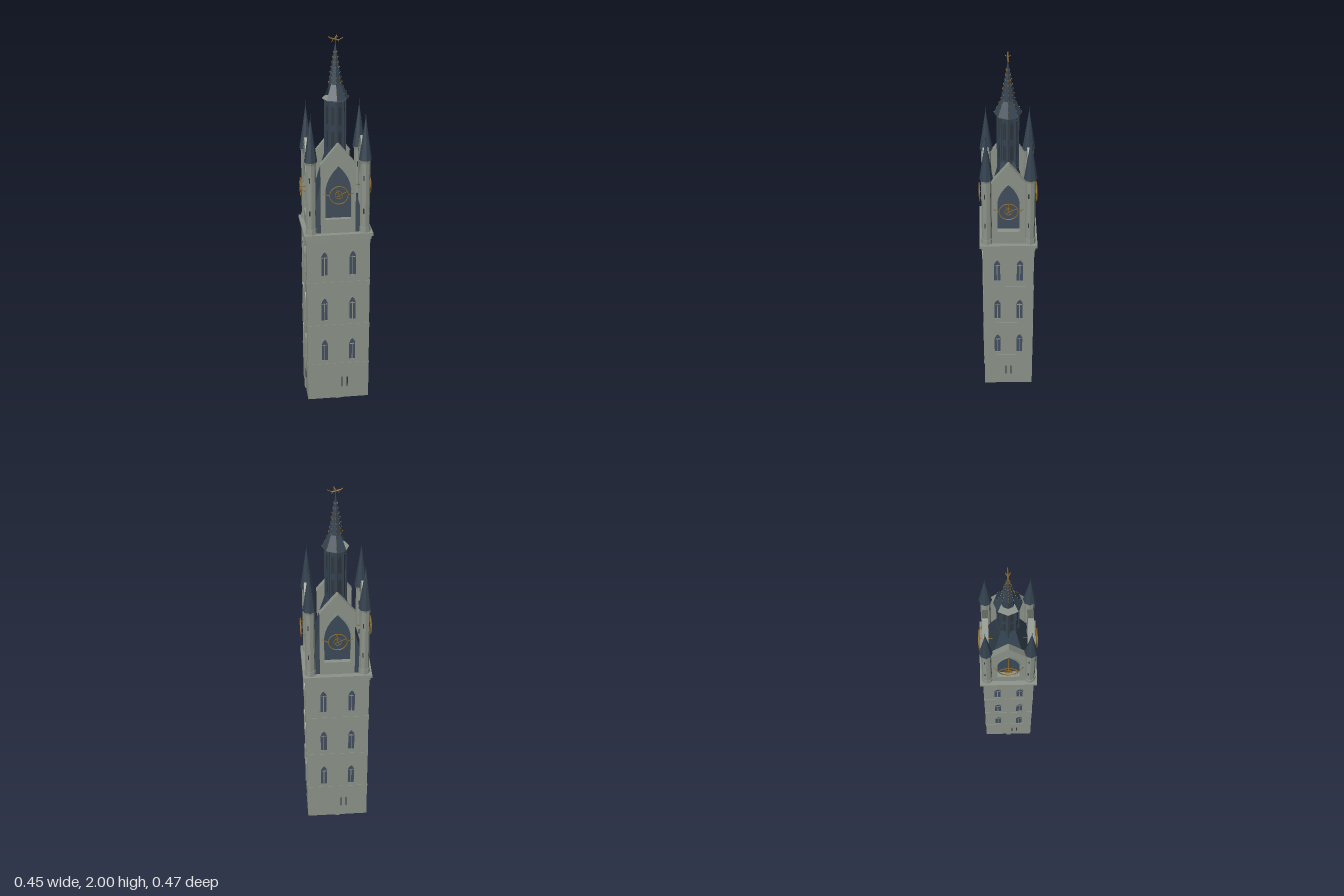
import * as THREE from 'three';

const mat = (name, color) => {
  const m = new THREE.MeshStandardMaterial({ color });
  m.name = name;
  return m;
};

export function createModel() {
  const stone = mat('stone', 0x8b9288);
  const slate = mat('slate', 0x344250);
  const glass = mat('glass', 0x434d60);
  const dark = mat('dark opening', 0x30363c);
  const gold = mat('gold', 0x8c6b2b);
  const slateOpen = mat('open slate', 0x344250);
  slateOpen.side = THREE.DoubleSide;

  const model = new THREE.Group();
  model.name = 'bellTower';
  const tower = new THREE.Group();
  tower.name = 'tower';
  tower.rotation.y = -Math.PI / 5; // the plan stands at 36 degrees
  model.add(tower);

  // ---- helpers ----
  const add = (parent, name, geo, m, x = 0, y = 0, z = 0) => {
    const mesh = new THREE.Mesh(geo, m);
    mesh.name = name;
    mesh.position.set(x, y, z);
    parent.add(mesh);
    return mesh;
  };
  const flat = (g) => {
    const n = g.toNonIndexed();
    n.computeVertexNormals();
    return n;
  };
  const box = (p, name, m, w, h, d, x, y, z) => add(p, name, new THREE.BoxGeometry(w, h, d), m, x, y, z);
  const prism = (p, name, m, rTop, rBot, y0, y1, x = 0, z = 0, n = 8) =>
    add(p, name, flat(new THREE.CylinderGeometry(rTop, rBot, y1 - y0, n)), m, x, (y0 + y1) / 2, z);
  // bar between two points
  const bar = (p, name, m, a, b, r) => {
    const A = new THREE.Vector3(...a), B = new THREE.Vector3(...b);
    const mesh = add(p, name, new THREE.CylinderGeometry(r, r, A.distanceTo(B), 5), m);
    mesh.position.copy(A).lerp(B, 0.5);
    mesh.quaternion.setFromUnitVectors(new THREE.Vector3(0, 1, 0), B.sub(A).normalize());
    return mesh;
  };
  // pointed arch outline
  const arch = (w, y0, y1, Type = THREE.Shape) => {
    const s = new Type(), spring = Math.max(y0 + (y1 - y0) * 0.5, y1 - w * 2);
    s.moveTo(-w, y0);
    s.lineTo(w, y0);
    s.lineTo(w, spring);
    s.quadraticCurveTo(w * 0.92, spring + (y1 - spring) * 0.55, 0, y1);
    s.quadraticCurveTo(-w * 0.92, spring + (y1 - spring) * 0.55, -w, spring);
    s.closePath();
    return s;
  };
  const plate = (shape, depth) =>
    new THREE.ExtrudeGeometry(shape, { depth, bevelEnabled: false, curveSegments: 6 });

  // ---- shaft ----
  const W = 0.133, D = 0.167;
  box(tower, 'shaft', stone, W * 2, 0.98, D * 2, 0, 0.49, 0);
  for (const [y, h] of [[0.215, 0.008], [0.445, 0.026], [0.7, 0.026]])
    box(tower, 'stringCourse', stone, W * 2 + 0.004, h, D * 2 + 0.004, 0, y, 0);
  box(tower, 'cornice', stone, 0.28, 0.02, 0.344, 0, 0.965, 0);
  box(tower, 'platform', stone, 0.3, 0.018, 0.36, 0, 0.983, 0);

  // ---- the four sides: windows, gable and clock ----
  const sides = [
    { turn: 0, wall: D, winX: 0.06, gable: 0.157, half: 0.085, open: 0.056 },
    { turn: 1, wall: W, winX: 0.075, gable: 0.124, half: 0.09, open: 0.068 },
    { turn: 2, wall: D, winX: 0.06, gable: 0.157, half: 0.085, open: 0.056 },
    { turn: 3, wall: W, winX: 0.075, gable: 0.124, half: 0.09, open: 0.068 },
  ];
  for (const s of sides) {
    const side = new THREE.Group();
    side.name = 'side';
    side.rotation.y = (s.turn * Math.PI) / 2;
    tower.add(side);

    if (s.turn !== 2) box(side, 'pilaster', stone, 0.022, 0.96, 0.01, 0, 0.48, s.wall + 0.001);
    for (const x of [-0.014, 0.014])
      box(side, 'slit', dark, 0.006, 0.06, 0.004, x + (s.turn === 2 ? 0 : 0.035), 0.1, s.wall);

    // paired lancet windows in three storeys
    for (const [y0, y1] of [[0.245, 0.372], [0.49, 0.622], [0.755, 0.892]])
      for (const x of [-s.winX, s.winX]) {
        add(side, 'windowGlass', plate(arch(0.017, y0, y1), 0.003), glass, x, 0, s.wall);
        const frame = arch(0.02, y0 - 0.003, y1 + 0.005);
        frame.holes.push(arch(0.0165, y0, y1, THREE.Path));
        add(side, 'windowFrame', plate(frame, 0.005), stone, x, 0, s.wall);
        box(side, 'mullion', stone, 0.004, y1 - y0 - 0.03, 0.005, x, (y0 + y1) / 2 - 0.015, s.wall + 0.002);
        box(side, 'tracery', stone, 0.026, 0.004, 0.005, x, y1 - 0.035, s.wall + 0.002);
      }

    // gabled wall with an open pointed arch
    const g = new THREE.Shape();
    g.moveTo(-s.half, 0.99);
    g.lineTo(s.half, 0.99);
    g.lineTo(s.half, 1.365);
    g.lineTo(0, 1.475);
    g.lineTo(-s.half, 1.365);
    g.closePath();
    g.holes.push(arch(s.open, 1.07, 1.36, THREE.Path));
    add(side, 'gableWall', plate(g, 0.024), stone, 0, 0, s.gable - 0.024);
    const rim = arch(s.open + 0.007, 1.063, 1.371);
    rim.holes.push(arch(s.open, 1.07, 1.36, THREE.Path));
    add(side, 'archMoulding', plate(rim, 0.004), stone, 0, 0, s.gable);
    const slope = Math.atan2(0.11, s.half), len = Math.hypot(0.11, s.half);
    for (const k of [-1, 1]) {
      const cope = box(side, 'coping', stone, len, 0.007, 0.03, (k * s.half) / 2, 1.42, s.gable - 0.012);
      cope.rotation.z = -k * slope;
    }

    // clock ring on brackets
    const cz = s.gable + 0.024, cy = 1.21;
    add(side, 'clockRing', new THREE.TorusGeometry(0.048, 0.0028, 5, 20), gold, 0, cy, cz);
    add(side, 'clockInnerRing', new THREE.TorusGeometry(0.02, 0.0018, 5, 12), gold, 0, cy, cz);
    for (const k of [-1, 1]) bar(side, 'clockBracket', gold, [k * 0.048, cy, cz], [k * 0.077, cy, s.gable], 0.0022);
    bar(side, 'clockAxle', gold, [0, cy, cz + 0.002], [0, cy, cz - 0.07], 0.002);
    bar(side, 'minuteHand', gold, [-0.012, cy - 0.007, cz + 0.002], [0.042, cy + 0.02, cz + 0.002], 0.0022);
    bar(side, 'hourHand', gold, [0.005, cy - 0.01, cz + 0.002], [-0.012, cy + 0.03, cz + 0.002], 0.0022);
  }

  // ---- corner turrets ----
  for (const i of [-1, 1])
    for (const j of [-1, 1]) {
      const t = new THREE.Group();
      t.name = 'turret';
      t.position.set(i * 0.111, 0, j * 0.14);
      tower.add(t);
      prism(t, 'turretShaft', stone, 0.026, 0.026, 0.99, 1.385);
      prism(t, 'turretBase', stone, 0.029, 0.031, 0.99, 1.02);
      prism(t, 'turretCollar', stone, 0.031, 0.027, 1.37, 1.386);
      prism(t, 'turretSpire', slate, 0.002, 0.034, 1.385, 1.605);
      prism(t, 'turretFinial', slate, 0.0008, 0.002, 1.6, 1.64, 0, 0, 5);
      for (let k = 0; k < 8; k++) {
        const f = new THREE.Group();
        f.name = 'turretFace';
        f.rotation.y = ((k + 0.5) * Math.PI) / 4;
        t.add(f);
        if (k % 2) for (const y of [1.11, 1.29]) box(f, 'turretSlit', dark, 0.006, 0.028, 0.002, 0, y, 0.0242);
      }
    }

  // ---- hipped roof inside the gables ----
  const roof = new THREE.CylinderGeometry(1, 1, 0.43, 4, 1, true);
  roof.rotateY(Math.PI / 4);
  const rp = roof.attributes.position;
  for (let i = 0; i < rp.count; i++) {
    const top = rp.getY(i) > 0;
    rp.setX(i, Math.sign(rp.getX(i)) * (top ? 0.036 : 0.118));
    rp.setZ(i, Math.sign(rp.getZ(i)) * (top ? 0.04 : 0.152));
  }
  add(tower, 'hippedRoof', flat(roof), slate, 0, 1.207, 0);

  // ---- octagonal lantern ----
  prism(tower, 'lantern', slate, 0.05, 0.05, 1.3, 1.68);
  for (let k = 0; k < 8; k++) {
    const a = (k * Math.PI) / 4;
    prism(tower, 'lanternPost', slate, 0.006, 0.006, 1.36, 1.68, 0.051 * Math.sin(a), 0.051 * Math.cos(a), 6);
    const f = new THREE.Group();
    f.name = 'lanternFace';
    f.rotation.y = a + Math.PI / 8;
    tower.add(f);
    for (const [y0, y1] of [[1.43, 1.52], [1.55, 1.65]])
      add(f, 'lanternLight', plate(arch(0.009, y0, y1), 0.002), dark, 0, 0, 0.0455);
  }
  prism(tower, 'lanternFloor', stone, 0.068, 0.06, 1.674, 1.682);

  // ---- flared skirt (open on one quarter) and spire ----
  const skirt = flat(new THREE.CylinderGeometry(0.034, 0.07, 0.075, 6, 1, true, Math.PI / 4, Math.PI * 1.5));
  add(tower, 'spireSkirt', skirt, slateOpen, 0, 1.7195, 0);
  prism(tower, 'spireNeck', slate, 0.033, 0.033, 1.68, 1.757);
  prism(tower, 'spire', slate, 0.003, 0.034, 1.757, 1.95);

  // gold crockets up the eight ribs
  for (let k = 0; k < 8; k++) {
    const a = (k * Math.PI) / 4;
    for (let n = 0; n < 7; n++) {
      const r = 0.033 - n * 0.0042, y = 1.765 + n * 0.0255;
      const c = box(tower, 'crocket', gold, 0.0025, 0.006, 0.006, r * Math.sin(a), y, r * Math.cos(a));
      c.rotation.y = a;
    }
    if (k > 1 && k < 7)
      for (const r of [0.042, 0.055, 0.067]) {
        const c = box(tower, 'skirtStud', gold, 0.0025, 0.004, 0.006,
          r * Math.sin(a), 1.757 - (r - 0.034) * 2.08, r * Math.cos(a));
        c.rotation.y = a;
      }
  }

  // ---- winged weather vane ----
  const vane = new THREE.Group();
  vane.name = 'weatherVane';
  tower.add(vane);
  bar(vane, 'vaneRod', gold, [0, 1.94, 0], [0, 1.982, 0], 0.0018);
  bar(vane, 'vaneBody', gold, [0, 1.976, -0.018], [0, 1.986, 0.022], 0.004);
  bar(vane, 'vaneNeck', gold, [0, 1.985, 0.022], [0, 1.994, 0.034], 0.003);
  bar(vane, 'vaneTail', gold, [0, 1.977, -0.018], [0, 1.988, -0.04], 0.002);
  for (const k of [-1, 1]) {
    bar(vane, 'vaneWing', gold, [0, 1.982, 0.004], [k * 0.012, 1.998, -0.01], 0.0022);
    bar(vane, 'vaneLeg', gold, [0, 1.98, k * 0.012], [k * 0.003, 1.968, k * 0.018], 0.0018);
  }
  return model;
}
